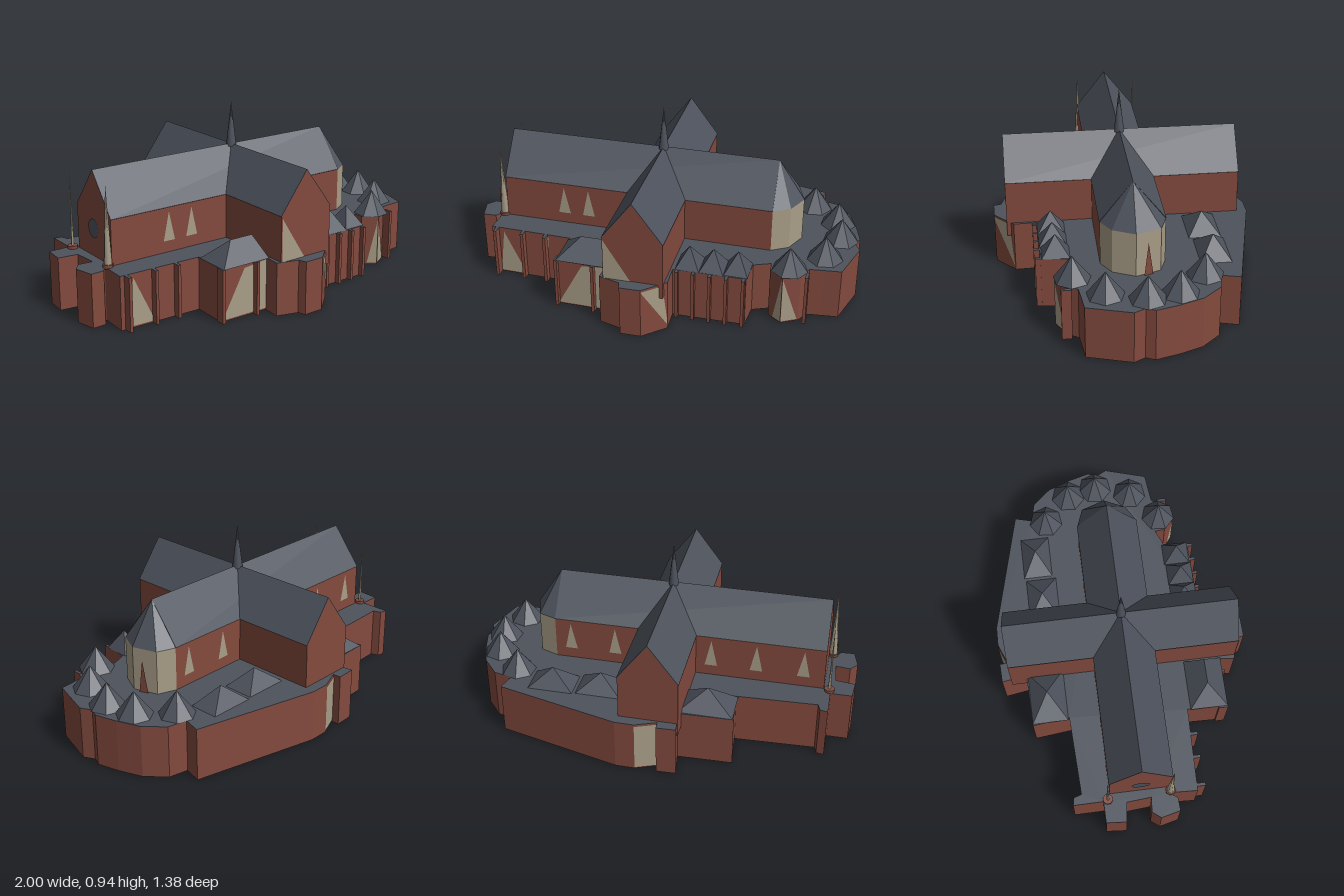
import * as THREE from 'three';

const mat = (name, color, side = THREE.FrontSide) => {
  const m = new THREE.MeshStandardMaterial({ color, side });
  m.name = name;
  return m;
};

export function createModel() {
  const brick = mat('brick', 0x834a3e);
  const slate = mat('slate', 0x4d525c, THREE.DoubleSide);
  const glass = mat('pale window', 0xa89d87, THREE.DoubleSide);
  const model = new THREE.Group();
  model.name = 'cathedral';
  // The church axes are turned 18 degrees around the crossing
  const ANGLE = Math.PI / 10, LOW = 0.275, EAVE = 0.505, RIDGE = 0.715;
  const church = new THREE.Group();
  church.name = 'upperChurch';
  church.position.set(-0.015, 0, 0.03);
  church.rotation.y = ANGLE;
  model.add(church);

  const add = (parent, name, geo, material, x = 0, y = 0, z = 0) => {
    const m = new THREE.Mesh(geo, material);
    m.name = name;
    m.position.set(x, y, z);
    parent.add(m);
    return m;
  };
  // Faces given as corner loops, each split as a fan
  const faces = (loops) => {
    const p = [];
    for (const l of loops)
      for (let i = 1; i < l.length - 1; i++) p.push(...l[0], ...l[i], ...l[i + 1]);
    const g = new THREE.BufferGeometry();
    g.setAttribute('position', new THREE.Float32BufferAttribute(p, 3));
    g.computeVertexNormals();
    return g;
  };
  const shapeOf = (pts) => new THREE.Shape(pts.map(([x, y]) => new THREE.Vector2(x, y)));
  const extrude = (pts, depth) =>
    new THREE.ExtrudeGeometry(shapeOf(pts), { depth, bevelEnabled: false });

  // Low storey: outline in x, z
  const outline = [
    [-0.88, -0.01], [-0.49, -0.155], [-0.57, -0.335], [-0.305, -0.43], [-0.365, -0.55],
    [-0.27, -0.585], [-0.255, -0.545], [-0.165, -0.62], [-0.07, -0.65], [0.595, -0.695],
    [0.6, -0.6], [0.7, -0.61], [0.81, -0.545], [0.89, -0.445], [0.955, -0.345],
    [0.95, -0.295], [0.995, -0.25], [1, -0.02], [0.92, 0.015], [0.855, 0.045],
    [0.84, 0.11], [0.775, 0.18], [0.69, 0.15], [0.67, 0.1], [0.6, 0.16],
    [0.63, 0.29], [0.28, 0.41], [0.32, 0.52], [0.245, 0.65], [0.145, 0.685],
    [0.12, 0.65], [0.005, 0.655], [-0.015, 0.56], [-0.27, 0.64], [-0.325, 0.455],
    [-0.745, 0.58], [-0.785, 0.435], [-0.8, 0.485], [-0.865, 0.51], [-0.92, 0.42],
    [-0.9, 0.365], [-0.825, 0.35], [-0.875, 0.23], [-0.975, 0.25], [-1, 0.145],
    [-0.895, 0.11], [-0.945, -0.04], [-0.905, -0.045],
  ].map(([x, z]) => [x, -z]);
  add(model, 'lowWalls', extrude(outline, LOW - 0.003).rotateX(-Math.PI / 2), brick);
  add(model, 'lowRoof', extrude(outline, 0.003).rotateX(-Math.PI / 2), slate, 0, LOW - 0.003, 0);

  // Gabled halls: wall body and folded roof, running along z
  const hall = (name, half, from, to, turn) => {
    const g = new THREE.Group();
    g.name = name;
    g.rotation.y = turn;
    church.add(g);
    const t = 0.006;
    add(g, name + 'Walls', extrude([[-half, 0.2], [half, 0.2], [half, EAVE], [0, RIDGE - t], [-half, EAVE]],
      to - from), brick, 0, 0, from);
    add(g, name + 'Roof', extrude([[-half, EAVE], [0, RIDGE - t], [half, EAVE],
      [half + 0.003, EAVE + 0.002], [0, RIDGE], [-half - 0.003, EAVE + 0.002]], to - from), slate, 0, 0, from);
  };
  hall('nave', 0.16, -0.825, 0.605, Math.PI / 2);
  hall('transept', 0.152, -0.61, 0.605, 0);

  // Apse: five-sided end with glazed walls and a fan roof
  const rim = [[0.605, 0.16], [0.69, 0.11], [0.742, 0], [0.7, -0.125], [0.605, -0.16]];
  const apseWall = [], apseRoof = [];
  for (let i = 0; i < rim.length - 1; i++) {
    const [ax, az] = rim[i], [bx, bz] = rim[i + 1];
    apseWall.push([[ax, LOW, az], [bx, LOW, bz], [bx, EAVE, bz], [ax, EAVE, az]]);
    apseRoof.push([[ax, EAVE, az], [bx, EAVE, bz], [0.605, RIDGE, 0]]);
  }
  add(church, 'apseGlazing', faces(apseWall), glass);
  add(church, 'apseRoof', faces(apseRoof), slate);
  add(church, 'apsePier', faces([[[0.736, LOW, -0.04], [0.719, LOW, -0.085], [0.73, 0.45, -0.06]]]), brick, 0.006, 0, 0);

  // Pointed clerestory windows on both sides of the nave and choir
  const windowAt = (u, side) => add(church, 'clerestoryWindow', faces([
    [[u - 0.033, 0.335, 0], [u + 0.033, 0.335, 0], [u, 0.485, 0]]]), glass, 0, 0, side * 0.164);
  for (const u of [-0.5, -0.367]) windowAt(u, 1);
  for (const u of [-0.715, -0.47, -0.233, 0.28, 0.52]) windowAt(u, -1);
  add(church, 'transeptWindow', faces([
    [[-0.148, LOW, 0], [-0.01, LOW, 0], [-0.148, 0.495, 0]]]), glass, 0, 0, 0.609);
  add(church, 'roseWindow', new THREE.CircleGeometry(0.05, 10).rotateY(-Math.PI / 2), slate, -0.829, 0.42, 0);

  // Crossing spire
  add(church, 'spire', new THREE.ConeGeometry(0.027, 0.235, 8), slate, 0, 0.82, 0);

  // Glazing on the low walls, from left end a to right end b seen from outside
  const glaze = (a, b, poly) => {
    const dx = b[0] - a[0], dz = b[1] - a[1], k = 0.004 / Math.hypot(dx, dz);
    add(model, 'lowWindow', faces([poly.map(([t, y]) =>
      [a[0] + dx * t - dz * k, y, a[1] + dz * t + dx * k])]), glass);
  };
  glaze([-0.745, 0.58], [-0.325, 0.455], [[0.083, 0.01], [0.417, 0.01], [0.155, 0.255]]);
  glaze([-0.745, 0.58], [-0.325, 0.455], [[0.69, 0.05], [0.73, 0.26], [0.7, 0.26]]);
  glaze([-0.27, 0.64], [-0.015, 0.56], [[0.02, 0.01], [1, 0.01], [1, 0.265], [0.5, 0.25]]);
  glaze([0.245, 0.65], [0.32, 0.52], [[0, 0.265], [1, 0.02], [0.8, 0.265]]);
  glaze([0.69, 0.15], [0.775, 0.18], [[0.4, 0.01], [1, 0.01], [1, 0.265]]);
  glaze([0.775, 0.18], [0.84, 0.11], [[0, 0.01], [0.9, 0.01], [0, 0.265]]);
  glaze([-0.165, -0.62], [-0.255, -0.545], [[0, 0.01], [1, 0.01], [1, 0.265], [0, 0.265]]);

  // Hipped chapel roofs: base centre, size, ridge length
  const hip = (x, z, w, d, h, ridge = 0, shift = 0) => {
    const a = w / 2, b = d / 2, r = ridge / 2;
    const c = [[-a, 0, b], [a, 0, b], [a, 0, -b], [-a, 0, -b]];
    const l = [shift - r, h, 0], q = [shift + r, h, 0];
    const m = add(model, 'chapelRoof', faces([[c[0], c[1], q, l], [c[1], c[2], q],
      [c[2], c[3], l, q], [c[3], c[0], l]]), slate, x, LOW, z);
    m.rotation.y = ANGLE;
  };
  hip(-0.165, 0.525, 0.27, 0.2, 0.1, 0.13, 0.04);
  hip(-0.4, -0.29, 0.28, 0.19, 0.105);
  hip(0.145, -0.435, 0.235, 0.165, 0.09);
  hip(0.38, -0.525, 0.235, 0.155, 0.095);
  for (const [x, z] of [[0.325, 0.32], [0.44, 0.28], [0.555, 0.235]]) hip(x, z, 0.122, 0.14, 0.105);

  // Ring of radiating chapel roofs
  for (const [x, z] of [[0.61, -0.52], [0.79, -0.43], [0.87, -0.29], [0.875, -0.09], [0.77, 0.096]])
    add(model, 'radiatingChapelRoof', new THREE.ConeGeometry(0.093, 0.125, 7).toNonIndexed(), slate, x, LOW + 0.0625, z)
      .geometry.computeVertexNormals();

  // Thin buttresses with slate caps
  for (const [x, z] of [[-0.71, 0.59], [-0.57, 0.54], [-0.45, 0.505], [-0.27, 0.64], [-0.08, 0.59],
    [0.3, 0.4], [0.38, 0.375], [0.46, 0.35], [0.54, 0.325], [0.62, 0.295], [0.87, 0.1]]) {
    const b = add(model, 'buttress', new THREE.BoxGeometry(0.016, LOW - 0.003, 0.05), brick, x, (LOW - 0.003) / 2, z);
    const c = add(model, 'buttressCap', new THREE.BoxGeometry(0.016, 0.003, 0.05), slate, x, LOW - 0.0015, z);
    b.rotation.y = c.rotation.y = ANGLE;
  }

  // West stair turrets with needle tips
  for (const [x, z, r] of [[-0.88, 0.13, 0.008], [-0.77, 0.44, 0.022]]) {
    add(model, 'turretBase', new THREE.CylinderGeometry(0.027, 0.027, 0.02, 8), brick, x, LOW + 0.005, z);
    add(model, 'turretNeedle', new THREE.ConeGeometry(r, 0.415, 6), glass, x, LOW + 0.2075, z);
  }
  return model;
}
